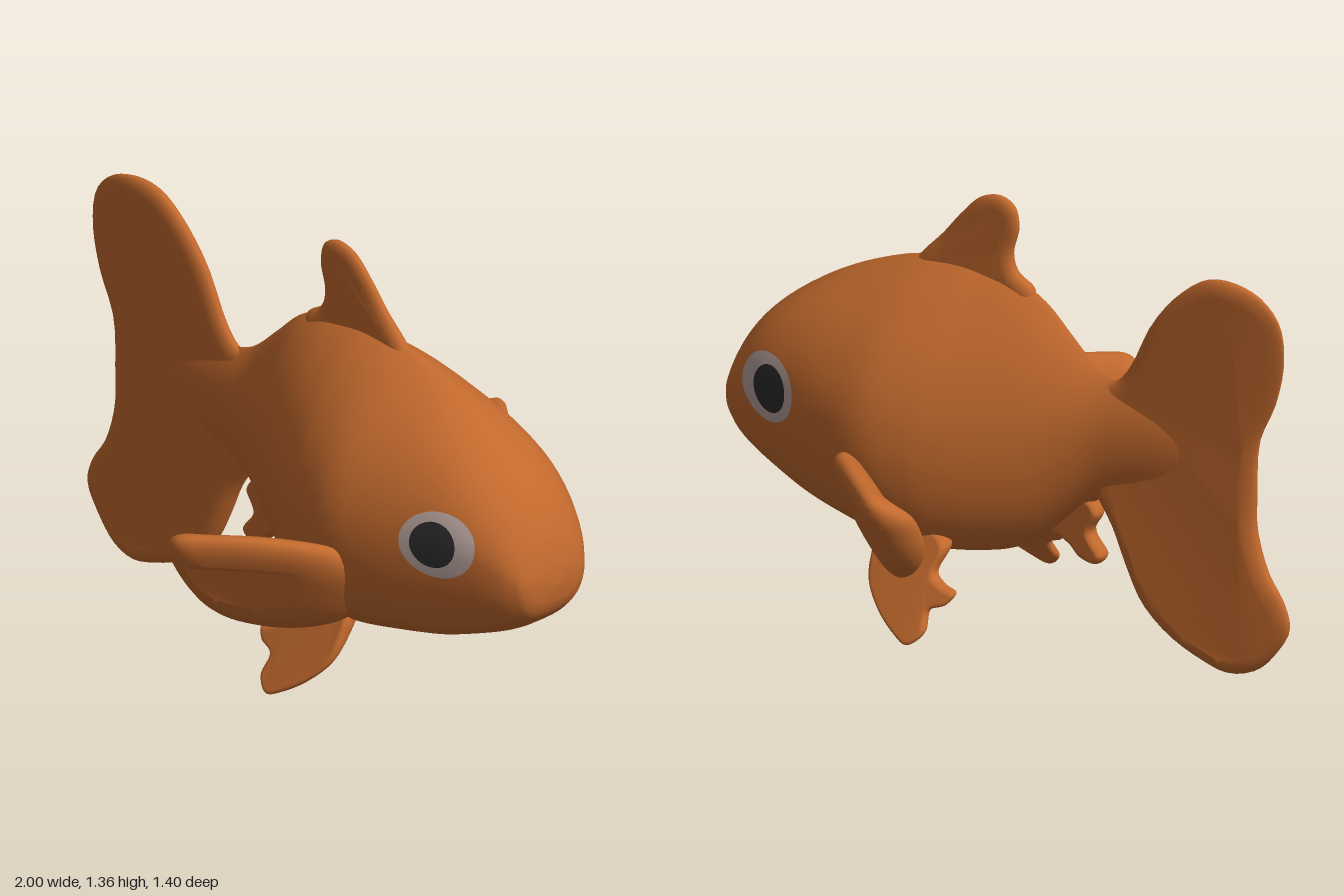
import * as THREE from 'three';
import { mergeVertices } from 'three/addons/utils/BufferGeometryUtils.js';

const { lerp, smoothstep } = THREE.MathUtils;
const mat = (name, color) => Object.assign(new THREE.MeshStandardMaterial({ color }), { name });

// Body sections: x, top, bottom, half width, height of the widest point
const SECTIONS = [
  [-0.75, 0.76, 0.60, 0.015, 0.68], [-0.55, 0.83, 0.54, 0.036, 0.68], [-0.40, 0.86, 0.50, 0.054, 0.68],
  [-0.30, 0.89, 0.46, 0.077, 0.67], [-0.20, 0.975, 0.375, 0.122, 0.65],
  [-0.10, 1.065, 0.285, 0.177, 0.62], [0.00, 1.11, 0.235, 0.230, 0.60],
  [0.10, 1.125, 0.218, 0.280, 0.59], [0.20, 1.13, 0.218, 0.322, 0.59],
  [0.35, 1.112, 0.23, 0.356, 0.60], [0.50, 1.06, 0.253, 0.332, 0.61],
  [0.65, 0.985, 0.28, 0.288, 0.63], [0.80, 0.885, 0.33, 0.238, 0.645],
  [0.90, 0.79, 0.375, 0.194, 0.61], [0.96, 0.69, 0.42, 0.153, 0.57],
  [0.99, 0.60, 0.47, 0.105, 0.54], [1.00, 0.535, 0.535, 0, 0.535],
];

// Smooth cubic interpolation of the sections at any x
function section(x) {
  const S = SECTIONS, n = S.length;
  let i = 0;
  while (i < n - 2 && x > S[i + 1][0]) i++;
  const h = S[i + 1][0] - S[i][0], t = (x - S[i][0]) / h;
  const slope = (k, c) => {
    const a = S[Math.max(k - 1, 0)], b = S[Math.min(k + 1, n - 1)];
    return (b[c] - a[c]) / (b[0] - a[0]);
  };
  return [1, 2, 3, 4].map((c) => {
    const m0 = slope(i, c) * h, m1 = slope(i + 1, c) * h, p = S[i][c], q = S[i + 1][c];
    return p + t * m0 + t * t * (3 * (q - p) - 2 * m0 - m1) + t * t * t * (2 * (p - q) + m0 + m1);
  });
}

// Narrow back and round head above the widest line; keeled rear and flat belly below it
function girth(c, x, upper) {
  const power = upper ? lerp(1.72, 0.95, smoothstep(x, 0.35, 0.8)) : lerp(1.1, 0.6, smoothstep(x, -0.15, 0.25));
  return Math.pow(Math.max(c, 0), power);
}

function bodyZ(x, y) {
  const [top, bottom, w, mid] = section(x);
  const s = y > mid ? (y - mid) / (top - mid) : (mid - y) / (mid - bottom);
  return w * girth(Math.sqrt(Math.max(0, 1 - s * s)), x, y > mid);
}

// Smooth surface from rings of points, each ring closed
function ringSurface(rows, cols, point) {
  const pos = [], idx = [];
  for (let i = 0; i < rows; i++) for (let j = 0; j < cols; j++) pos.push(...point(i, j));
  for (let i = 0; i < rows - 1; i++) {
    for (let j = 0; j < cols; j++) {
      const k = (j + 1) % cols;
      const a = i * cols + j, b = a + cols, c = (i + 1) * cols + k, d = i * cols + k;
      idx.push(a, b, c, a, c, d);
    }
  }
  const g = new THREE.BufferGeometry();
  g.setAttribute('position', new THREE.Float32BufferAttribute(pos, 3));
  g.setIndex(idx);
  g.computeVertexNormals();
  return g;
}

function bodyGeometry() {
  const xs = [];
  for (let k = 0; k < SECTIONS.length - 1; k++) {
    for (let s = 0; s < 4; s++) xs.push(lerp(SECTIONS[k][0], SECTIONS[k + 1][0], s / 4));
  }
  xs.push(1);
  const cols = 64;
  return ringSurface(xs.length, cols, (i, j) => {
    const x = xs[i], [top, bottom, w, mid] = section(x);
    const a = (j / cols) * Math.PI * 2, c = Math.cos(a), s = Math.sin(a);
    const z = Math.sign(c) * w * girth(Math.abs(c), x, s > 0);
    return [x, mid + s * (s > 0 ? top - mid : mid - bottom), z];
  });
}

// Band between two circles [centre x, radius x, radius y], laid onto the curved head
function eyePatch(inner, outer) {
  return ringSurface(5, 40, (i, j) => {
    const [cx, rx, ry] = inner.map((v, k) => lerp(v, outer[k], i / 4));
    const a = (j / 40) * Math.PI * 2, x = cx + rx * Math.cos(a), y = 0.665 + ry * Math.sin(a);
    return [x, y, bodyZ(x, y) + 0.007];
  });
}

// Rounded fin: outline in x/y, with half thickness and middle depth given by rules
function finGeometry(outline, edge, half, middle = () => 0) {
  const curve = new THREE.CatmullRomCurve3(outline.map(([x, y]) => new THREE.Vector3(x, y, 0)), true);
  const points = curve.getPoints(90).slice(0, -1).map((p) => new THREE.Vector2(p.x, p.y));
  let g = new THREE.ExtrudeGeometry(new THREE.Shape(points), {
    depth: 0.02, bevelThickness: 0.1, bevelSize: edge, bevelOffset: -edge, bevelSegments: 6,
  });
  const p = g.attributes.position;
  for (let i = 0; i < p.count; i++) {
    const x = p.getX(i), y = p.getY(i);
    p.setZ(i, ((p.getZ(i) - 0.01) / 0.11) * half(x, y) + middle(x, y));
  }
  g.deleteAttribute('uv');
  g.deleteAttribute('normal');
  g = mergeVertices(g, 1e-5);
  g.computeVertexNormals();
  return g;
}

const TAIL = [
  [-0.37, 0.87], [-0.42, 0.93], [-0.5, 1.09], [-0.6, 1.21], [-0.7, 1.28], [-0.8, 1.29], [-0.9, 1.26],
  [-0.965, 1.19], [-0.98, 1.07], [-0.95, 0.93], [-0.89, 0.79], [-0.88, 0.62], [-0.88, 0.5], [-0.92, 0.37],
  [-0.98, 0.28], [-1, 0.2], [-0.95, 0.11], [-0.88, 0.04], [-0.79, 0.012], [-0.7, 0.03], [-0.57, 0.085],
  [-0.47, 0.17], [-0.41, 0.28], [-0.36, 0.39], [-0.3, 0.48], [-0.22, 0.6], [-0.22, 0.74], [-0.3, 0.85],
];
const DORSAL = [
  [0.4, 1.04], [0.35, 1.115], [0.27, 1.2], [0.2, 1.285], [0.13, 1.352], [0.06, 1.37], [0.01, 1.345],
  [-0.005, 1.28], [0.015, 1.19], [0, 1.135], [-0.06, 1.09], [-0.05, 1.0], [0.15, 0.96],
];
const PECTORAL = [
  [-0.03, 0.47], [-0.02, 0.55], [0.05, 0.605], [0.15, 0.615], [0.3, 0.605], [0.4, 0.57], [0.44, 0.47],
  [0.38, 0.32], [0.3, 0.26], [0.17, 0.245], [0.05, 0.3], [-0.01, 0.38],
];
const PELVIC = [
  [0.1, 0.29], [0.115, 0.21], [0.075, 0.185], [0.03, 0.17], [0.05, 0.135], [0.1, 0.11], [0.095, 0.05],
  [0.14, 0.008], [0.2, 0.03], [0.28, 0.085], [0.335, 0.15], [0.35, 0.22], [0.34, 0.3], [0.2, 0.34],
];
const ANAL = [
  [-0.1, 0.42], [-0.24, 0.48], [-0.31, 0.42], [-0.28, 0.35], [-0.325, 0.28], [-0.3, 0.25], [-0.24, 0.26],
  [-0.2, 0.295], [-0.14, 0.315], [-0.06, 0.27], [0, 0.35],
];

export function createModel() {
  const orange = mat('orange skin', 0xc2692d);
  const pale = mat('pale eye ring', 0xb5a09b);
  const dark = mat('dark pupil', 0x2b2b2b);
  const model = new THREE.Group();
  model.name = 'fish';
  const add = (parent, name, geometry, material) => {
    const mesh = new THREE.Mesh(geometry, material);
    mesh.name = name;
    parent.add(mesh);
  };

  add(model, 'body', bodyGeometry(), orange);

  // Tail: thicker lower lobe, tapering to the trailing edge
  const tailHalf = (x, y) => lerp(0.05, 0.025, smoothstep(y, 0.15, 0.9))
    * lerp(0.4, 1, smoothstep(x, -1.02, -0.75));
  add(model, 'tailFin', finGeometry(TAIL, 0.05, tailHalf), orange);
  add(model, 'dorsalFin', finGeometry(DORSAL, 0.04,
    (x, y) => lerp(0.03, 0.02, smoothstep(y, 1.05, 1.25))), orange);
  add(model, 'analFin', finGeometry(ANAL, 0.018, () => 0.03), orange);

  // Paired fins and eyes, mirrored across the body; the plump pectoral curls inward at its tip
  const pectoral = finGeometry(PECTORAL, 0.1, () => 0.07,
    (x, y) => 0.36 + 0.575 * (y - 0.58) - 0.85 * (x - 0.42) - 5 * Math.max(0, 0.12 - x) ** 2);
  const pelvic = finGeometry(PELVIC, 0.015,
    (x, y) => lerp(0.018, 0.032, smoothstep(y, 0.12, 0.3)), (x, y) => 0.385 - 0.58 * y);
  const pupilEdge = [0.728, 0.073, 0.074];
  const ring = eyePatch(pupilEdge, [0.74, 0.12, 0.106]);
  const pupil = eyePatch([0.728, 0, 0], pupilEdge);
  for (const side of [1, -1]) {
    const half = new THREE.Group();
    half.name = side > 0 ? 'frontSide' : 'backSide';
    half.scale.z = side;
    add(half, 'pectoralFin', pectoral, orange);
    add(half, 'pelvicFin', pelvic, orange);
    add(half, 'eyeRing', ring, pale);
    add(half, 'pupil', pupil, dark);
    model.add(half);
  }
  return model;
}
